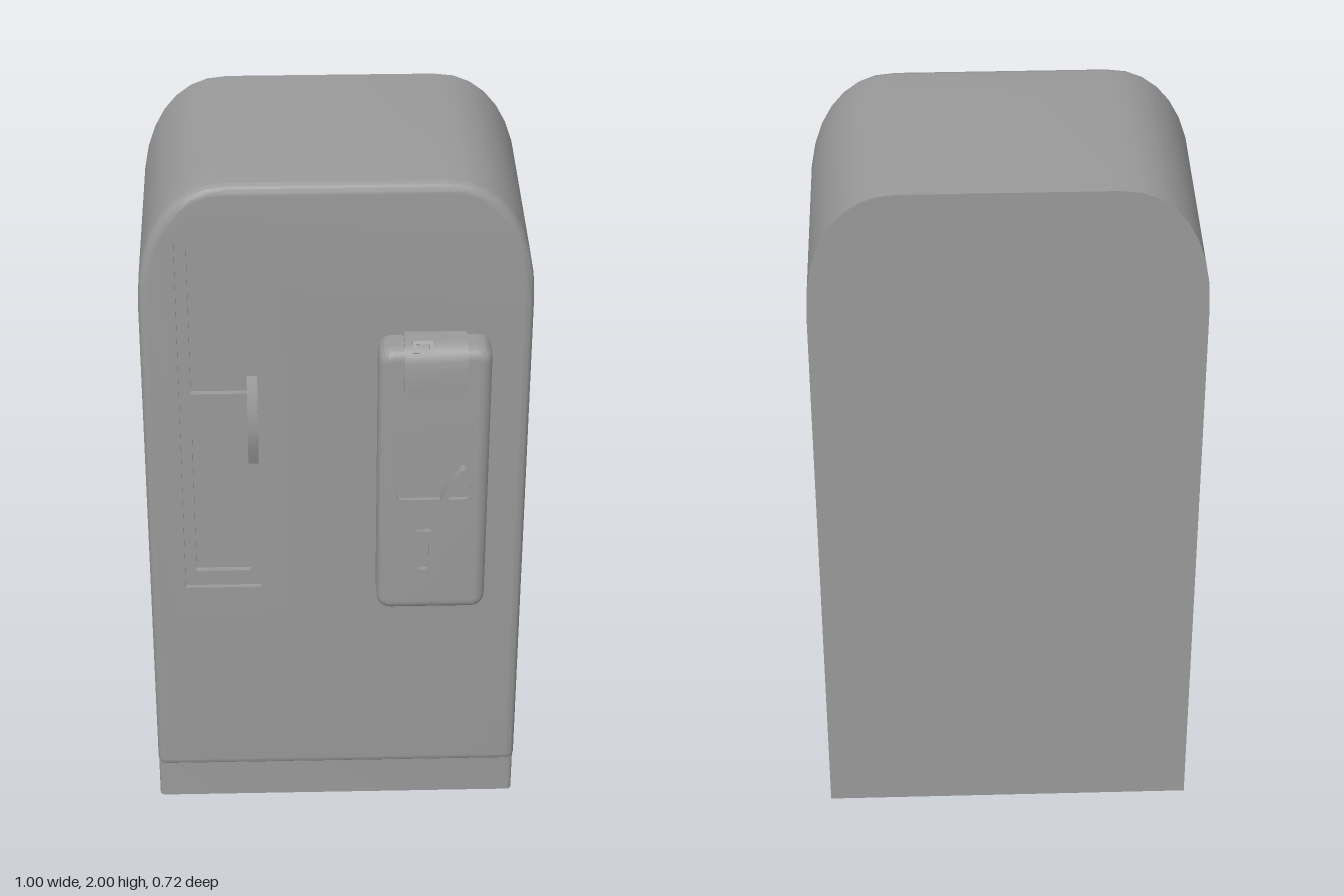
import * as THREE from 'three';
import { mergeGeometries, toCreasedNormals } from 'three/addons/utils/BufferGeometryUtils.js';

const material = new THREE.MeshStandardMaterial({ color: 0x999999 });

// Slightly squared sine and cosine give the corners their full shape.
const full = (v) => Math.sign(v) * Math.abs(v) ** 0.9;

// Counter-clockwise outline with elliptical corners: top (ax, ay) and bottom (b).
function outline(x0, x1, y0, y1, ax, ay, b, inset = 0) {
  const corners = [[x1, y0, -1, 1, b, b, -90], [x1, y1, -1, -1, ax, ay, 0], [x0, y1, 1, -1, ax, ay, 90], [x0, y0, 1, 1, b, b, 180]];
  const points = [];
  for (const [x, y, sx, sy, rx, ry, start] of corners) {
    if (rx === 0) {
      points.push(new THREE.Vector2(x + sx * inset, y + sy * inset));
      continue;
    }
    const ex = Math.max(rx - inset, 0.002), ey = Math.max(ry - inset, 0.002);
    for (let i = 0; i <= 8; i++) {
      const t = THREE.MathUtils.degToRad(start + 90 * i / 8);
      points.push(new THREE.Vector2(x + sx * (inset + ex) + ex * full(Math.cos(t)), y + sy * (inset + ey) + ey * full(Math.sin(t))));
    }
  }
  return points;
}

// Joins equal-length rings [points, z] and caps the last one, leaving holes open.
function loft(rings, holes = []) {
  const n = rings[0][0].length, positions = [], index = [];
  for (const [points, z] of rings) for (const p of points) positions.push(p.x, p.y, z);
  for (let r = 0; r < rings.length - 1; r++) {
    for (let i = 0; i < n; i++) {
      const a = r * n + i, b = r * n + (i + 1) % n;
      index.push(a, b, b + n, a, b + n, a + n);
    }
  }
  const side = new THREE.BufferGeometry();
  side.setAttribute('position', new THREE.Float32BufferAttribute(positions, 3));
  side.setIndex(index);
  const [lastPoints, lastZ] = rings[rings.length - 1];
  const shape = new THREE.Shape(lastPoints);
  shape.holes = holes.map((h) => new THREE.Path(h));
  const cap = new THREE.ShapeGeometry(shape).translate(0, 0, lastZ);
  cap.deleteAttribute('uv');
  cap.deleteAttribute('normal');
  return toCreasedNormals(mergeGeometries([side, cap]), 0.6);
}

// Block with a rounded front edge of radius r.
function roundedFront(args, z0, z1, r, holes) {
  const rings = [[outline(...args), z0]];
  for (let i = 0; i <= 6; i++) {
    const t = i / 6 * Math.PI / 2;
    rings.push([outline(...args, r * (1 - Math.cos(t))), z1 - r + r * Math.sin(t)]);
  }
  return loft(rings, holes);
}

const recess = (points, z, depth, holes) => loft([[points, z], [points, z - depth]], holes);

// Flat shape extruded towards +z.
const extrude = (shape, depth) => new THREE.ExtrudeGeometry(shape, { depth, bevelEnabled: false });

// Side profile of [z, y] points extruded along x from x0 to x1.
function sideProfile(points, x0, x1) {
  const shape = new THREE.Shape(points.map(([z, y]) => new THREE.Vector2(-z, y)));
  return toCreasedNormals(extrude(shape, x1 - x0).rotateY(Math.PI / 2).translate(x0, 0, 0), 0.6);
}

export function createModel() {
  const model = new THREE.Group();
  const add = (name, geometry) => {
    const mesh = new THREE.Mesh(geometry, material);
    mesh.name = name;
    model.add(mesh);
    return mesh;
  };

  // Cabinet and door
  const cabinet = extrude(new THREE.Shape(outline(-0.5, 0.5, 0, 2, 0.23, 0.35, 0)), 0.49);
  add('cabinet', toCreasedNormals(cabinet.translate(0, 0, -0.36), 0.6));
  const panel = outline(-0.405, -0.2, 0.783, 1.861, 0, 0, 0);
  add('door', roundedFront([-0.5, 0.5, 0.158, 2, 0.23, 0.35, 0.025], 0.128, 0.25, 0.025, [panel]));

  // Recessed display panel with two windows
  const windows = [[1.392, 1.817], [0.83, 1.253]].map(([y0, y1]) => outline(-0.375, -0.23, y0, y1, 0, 0, 0));
  add('displayPanel', recess(panel, 0.25, 0.012, windows));
  windows.forEach((w) => add('displayWindow', recess(w, 0.238, 0.015)));

  // Bowed door handle
  const bow = [];
  for (let i = 0; i <= 12; i++) bow.push([0.236 + 0.037 * Math.sin(Math.PI * i / 12), 1.45 - 0.28 * i / 12]);
  const inner = bow.slice(1, -1).reverse().map(([z, y]) => [z - 0.012, y]);
  add('doorHandle', sideProfile([...bow, ...inner], -0.23, -0.203));

  // Kick plate with rounded plan corners
  const plan = new THREE.Shape(outline(-0.5, 0.5, -0.215, -0.129, 0, 0, 0.015));
  add('kickPlate', toCreasedNormals(extrude(plan, 0.13).rotateX(-Math.PI / 2).translate(0, 0.025, 0), 0.6));

  // Coin box with recessed slots
  const slots = [
    ['leverSlot', outline(0.153, 0.345, 1.117, 1.178, 0.018, 0.018, 0.018)],
    ['coinSlot', outline(0.201, 0.248, 1.016, 1.062, 0.008, 0.008, 0.008)],
    ['returnSlot', outline(0.207, 0.24, 0.893, 0.985, 0.012, 0.012, 0.012)],
  ];
  add('coinBox', roundedFront([0.105, 0.393, 0.757, 1.57, 0.04, 0.04, 0.04], 0.24, 0.333, 0.03, slots.map((s) => s[1])));
  slots.forEach(([name, points]) => add(name, recess(points, 0.333, 0.01)));

  // Slanted coin return lever, wider at the top
  const leverOutline = outline(-0.013, 0.013, -0.06, 0.055, 0.012, 0.012, 0.008);
  leverOutline.forEach((p) => { p.x *= 0.75 + 4 * p.y; });
  const leverMesh = add('coinLever', toCreasedNormals(extrude(new THREE.Shape(leverOutline), 0.042), 0.6));
  leverMesh.position.set(0.303, 1.176, 0.318);
  leverMesh.rotation.z = -0.58;

  // Flap curving over the top of the coin box, and its clip
  const flap = [[0.252, 1.58], [0.252, 1.53], [0.32, 1.452], [0.343, 1.452], [0.344, 1.52]];
  for (let i = 0; i <= 6; i++) {
    const t = i / 6 * Math.PI / 2;
    flap.push([0.295 + 0.047 * Math.cos(t), 1.53 + 0.05 * Math.sin(t)]);
  }
  add('flap', sideProfile(flap, 0.17, 0.33));
  const clip = new THREE.Shape(outline(-0.025, 0.025, -0.016, 0.016, 0, 0, 0));
  clip.holes.push(new THREE.Path(outline(-0.017, 0.017, -0.007, 0.007, 0, 0, 0)));
  const clipMesh = add('flapClip', extrude(clip, 0.02));
  clipMesh.position.set(0.215, 1.57, 0.313);
  clipMesh.rotation.x = -0.6;

  return model;
}
